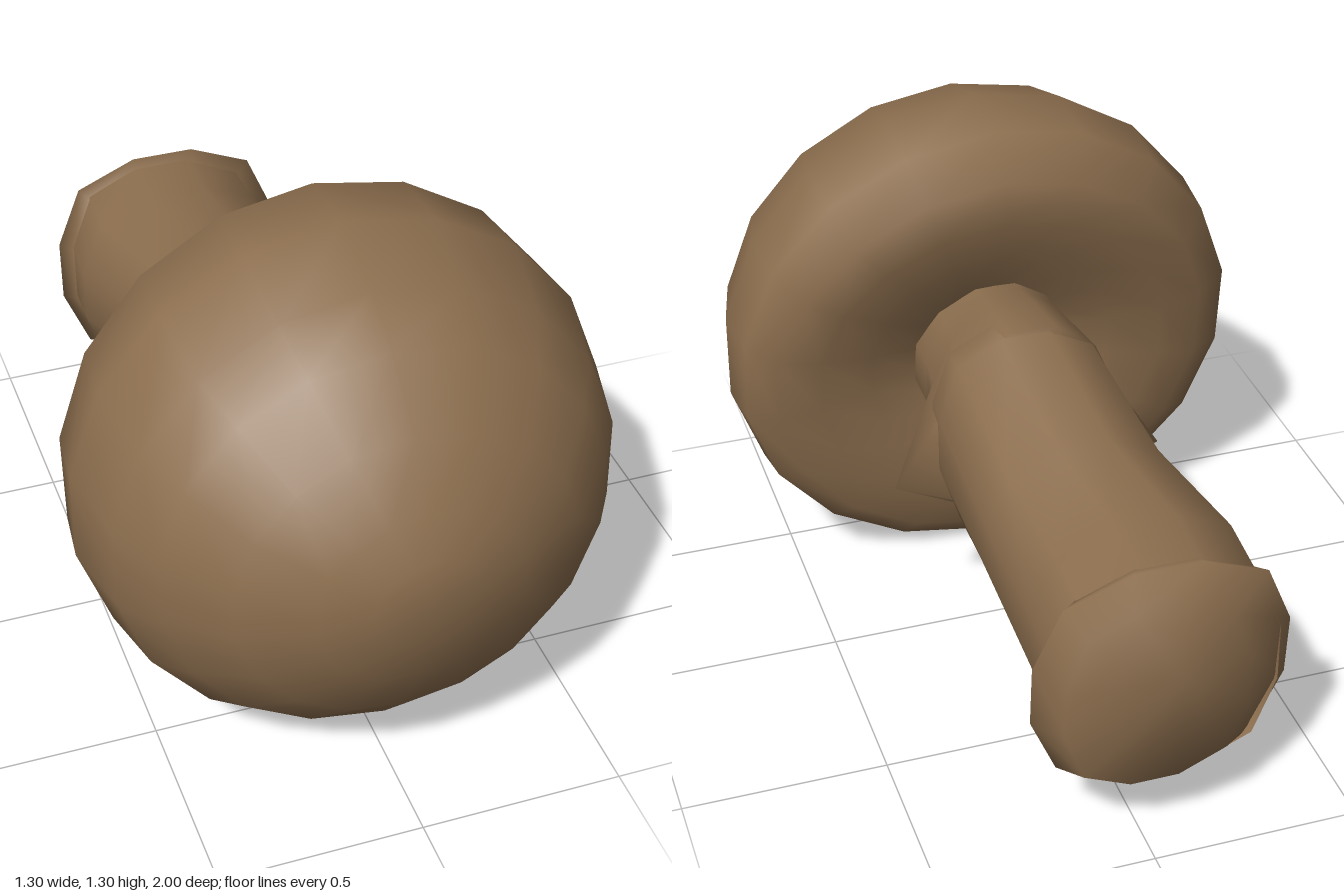
import * as THREE from 'three';
import { mergeVertices } from 'three/addons/utils/BufferGeometryUtils.js';

// Skin over elliptical rings running front to back: [z, cx, cy, rx, ry, tilt].
// tilt leans the ring (change of z per unit of height); wobble(angle, ringIndex) shifts z and radius.
function loft(rings, sides, wobble) {
  const positions = [], index = [];
  rings.forEach(([z, cx, cy, rx, ry, tilt = 0], i) => {
    for (let j = 0; j < sides; j++) {
      const a = ((j + 0.5) / sides) * Math.PI * 2;
      const [dz, scale] = rx > 0 ? wobble(a, i) : [0, 1];
      const dy = Math.sin(a) * ry * scale;
      positions.push(cx + Math.cos(a) * rx * scale, cy + dy, z + dy * tilt + dz);
      if (i === rings.length - 1) continue;
      const p = i * sides + j, q = i * sides + (j + 1) % sides;
      index.push(p, p + sides, q, q, p + sides, q + sides);
    }
  });
  const raw = new THREE.BufferGeometry();
  raw.setAttribute('position', new THREE.Float32BufferAttribute(positions, 3));
  raw.setIndex(index);
  const geometry = mergeVertices(raw, 1e-5);
  geometry.computeVertexNormals();
  return geometry;
}

export function createModel() {
  const group = new THREE.Group();
  const brown = new THREE.MeshStandardMaterial({ color: 0x8c6e4e, side: THREE.DoubleSide });
  brown.name = 'mushroom brown';

  const add = (name, geometry) => {
    const mesh = new THREE.Mesh(geometry, brown);
    mesh.name = name;
    group.add(mesh);
  };

  // Domed cap with a rolled rim, pulled forward at the sides, and a shallow hollow underside
  add('cap', loft([
    [1.00, 0, 0.70, 0, 0],
    [0.98, 0, 0.68, 0.13, 0.12, 0.02],
    [0.94, 0, 0.665, 0.25, 0.23, 0],
    [0.855, 0, 0.655, 0.41, 0.385, -0.01],
    [0.72, 0, 0.65, 0.54, 0.52, -0.03],
    [0.60, 0, 0.64, 0.615, 0.60, -0.03],
    [0.41, 0, 0.65, 0.66, 0.65, -0.04],
    [0.27, 0, 0.65, 0.645, 0.635, -0.12],
    [0.21, 0, 0.625, 0.57, 0.56, -0.18],
    [0.195, 0, 0.63, 0.46, 0.44, -0.17],
    [0.215, 0, 0.63, 0.32, 0.32, -0.17],
    [0.25, 0, 0.63, 0.19, 0.21, -0.15],
  ], 18, (a, i) => [i > 7 ? 0.03 * Math.cos(a) ** 4 : 0, 1]));

  // Neck ending in a collar with one pointed flap on each side
  add('collar', loft([
    [0.40, 0, 0.63, 0.20, 0.21],
    [0.18, 0, 0.625, 0.20, 0.235],
    [0.08, 0, 0.615, 0.21, 0.265],
    [-0.07, 0, 0.605, 0.23, 0.30, -0.08],
    [-0.09, 0.01, 0.605, 0.21, 0.27, -0.08],
  ], 12, (a, i) => [0, i === 3 && Math.abs(Math.sin(a) + 0.26) < 0.05 ? 1.55 : 1]));

  // The stem is slightly squared in section
  const squared = (a) => [0, 1 + 0.05 * (1 - Math.cos(4 * a))];

  // Stem, thickening and dropping toward its foot
  add('stem', loft([
    [0.00, 0.02, 0.605, 0.21, 0.265],
    [-0.10, 0.02, 0.61, 0.22, 0.28],
    [-0.40, -0.025, 0.505, 0.24, 0.25],
    [-0.70, -0.065, 0.455, 0.27, 0.28],
    [-0.90, -0.06, 0.445, 0.265, 0.28],
  ], 12, squared));

  // Ragged lip and blunt end of the stem
  add('stemFoot', loft([
    [-0.82, -0.06, 0.44, 0.265, 0.28, -0.08],
    [-0.865, -0.05, 0.435, 0.31, 0.305, -0.08],
    [-0.96, -0.01, 0.44, 0.22, 0.245, -0.03],
    [-1.00, -0.06, 0.50, 0, 0],
  ], 12, squared));

  return group;
}
